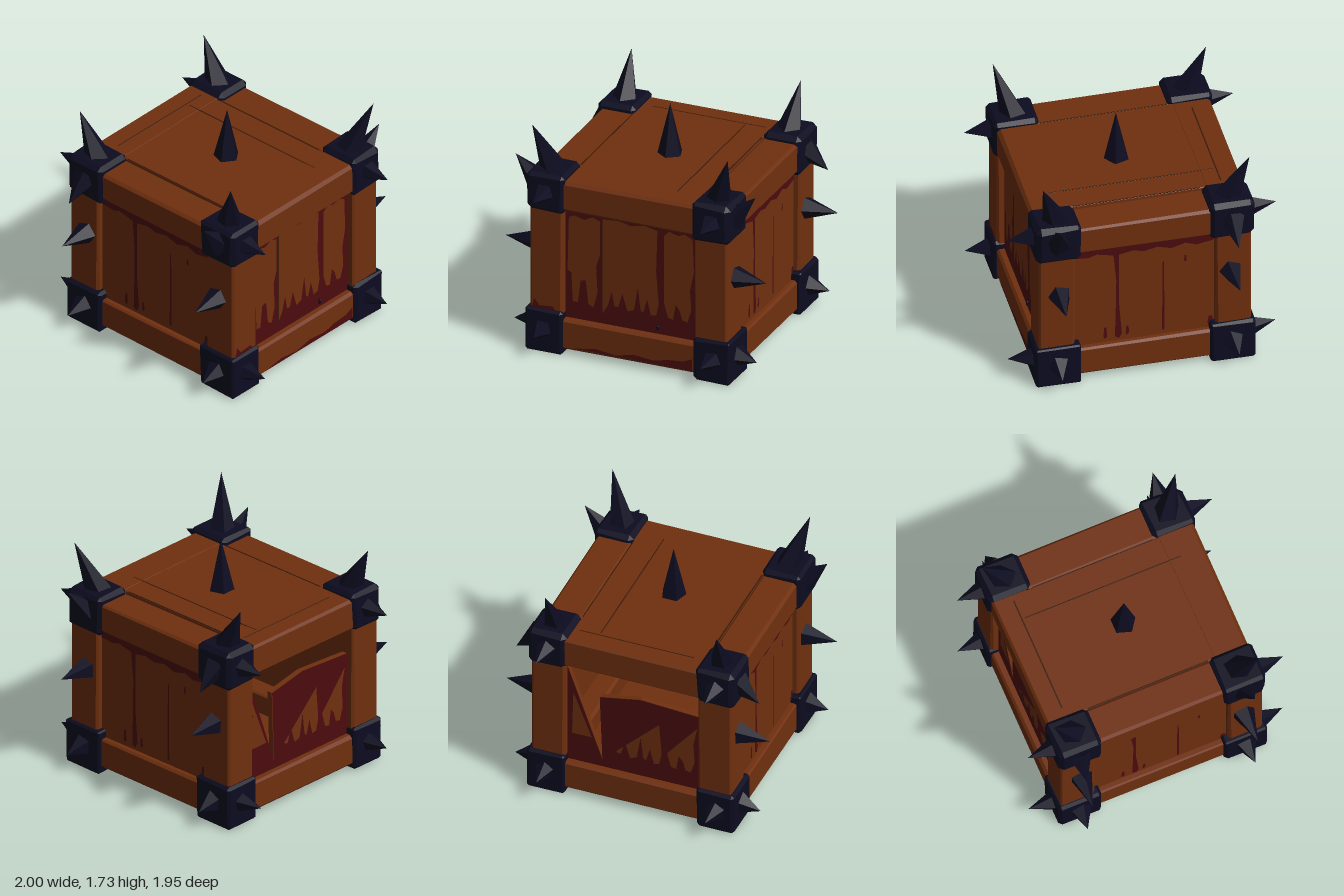
import * as THREE from 'three';
import { ConvexGeometry } from 'three/addons/geometries/ConvexGeometry.js';

const mat = (name, color, side = THREE.FrontSide) => {
  const m = new THREE.MeshStandardMaterial({ color, flatShading: true, side });
  m.name = name;
  return m;
};

export function createModel() {
  const root = new THREE.Group();
  const wood = mat('brown wood', 0x70300f);
  const seam = mat('dark seam', 0x3a1a09);
  const stain = mat('dark red stain', 0x4c0c10, THREE.DoubleSide);
  const iron = mat('dark iron', 0x0d0c21);

  let seed = 7;
  const rand = () => (seed = (seed * 16807) % 2147483647) / 2147483647 - 0.5;

  const add = (parent, name, geo, material) => {
    const m = new THREE.Mesh(geo, material);
    m.name = name;
    parent.add(m);
    return m;
  };

  // Box with chamfered edges and slightly uneven corners
  const block = (parent, name, material, [x0, x1], [y0, y1], [z0, z1], c, wobble = 0) => {
    const pts = [];
    const X = [x0, x1], Y = [y0, y1], Z = [z0, z1];
    for (let i = 0; i < 2; i++) for (let j = 0; j < 2; j++) for (let k = 0; k < 2; k++) {
      const sx = 1 - 2 * i, sy = 1 - 2 * j, sz = 1 - 2 * k;
      const d = c + rand() * wobble;
      pts.push(new THREE.Vector3(X[i], Y[j] + sy * d, Z[k] + sz * d),
        new THREE.Vector3(X[i] + sx * d, Y[j], Z[k] + sz * d),
        new THREE.Vector3(X[i] + sx * d, Y[j] + sy * d, Z[k]));
    }
    return add(parent, name, new ConvexGeometry(pts), material);
  };

  // Five-sided spike from base to tip
  const up = new THREE.Vector3(0, 1, 0);
  const spike = (name, base, tip, r) => {
    const a = new THREE.Vector3(...base), b = new THREE.Vector3(...tip);
    const len = a.distanceTo(b);
    const geo = new THREE.ConeGeometry(r, len, 5).translate(0, len / 2, 0);
    const m = add(root, name, geo, iron);
    m.quaternion.setFromUnitVectors(up, b.sub(a).normalize());
    m.position.copy(a);
  };

  const poly = (pts) => new THREE.Shape(pts.map(([x, y]) => new THREE.Vector2(x, y)));
  const plate = (parent, name, pts, holes, z, material) => {
    const s = poly(pts);
    s.holes = holes.map(poly);
    return add(parent, name, new THREE.ShapeGeometry(s).translate(0, 0, z), material);
  };
  const board = (parent, name, pts) => add(parent, name,
    new THREE.ExtrudeGeometry(poly(pts), { depth: 0.04, bevelEnabled: false }).translate(0, 0, 0.67), wood);
  const rect = (x0, y0, x1, y1) => [[x0, y0], [x1, y0], [x1, y1], [x0, y1]];

  // Corner posts, iron corner blocks and their spikes
  for (const sx of [-1, 1]) for (const sz of [-1, 1]) {
    const span = (s, a, b) => (s > 0 ? [a, b] : [-b, -a]);
    block(root, 'cornerPost', wood, span(sx, 0.505, 0.757), [0.2, 1.2], span(sz, 0.51, 0.77), 0.015, 0.012);
    block(root, 'lowerCornerBlock', iron, span(sx, 0.5, 0.785), [0, 0.33], span(sz, 0.47, 0.795), 0.018, 0.02);
    block(root, 'upperCornerBlock', iron, span(sx, 0.49, 0.78), [1.08, 1.38], span(sz, 0.465, 0.79), 0.03, 0.02);
    const front = sz > 0;
    spike('topCornerSpike', [sx * 0.63, 1.34, sz * 0.62],
      front ? [sx * 0.75, 1.73, 0.74] : [sx * 0.65, 1.68, -0.78], 0.1);
    spike('upperSideSpike', [sx * 0.74, 1.24, sz * 0.63], [sx * 0.92, front ? 1.43 : 1.09, sz * 0.64], 0.1);
    spike('upperFaceSpike', [sx * 0.64, 1.24, sz * 0.77], [sx * 0.64, 1.24, sz * 0.975], 0.08);
    spike('lowerSideSpike', [sx * 0.76, 0.18, sz * 0.63], [sx * 0.93, 0.15, sz * 0.64], 0.09);
    spike('lowerFaceSpike', [sx * 0.65, 0.18, sz * 0.77], [sx * 0.64, 0.19, sz * 0.97], 0.08);
    spike('postSpike', [sx * 0.74, 0.78, sz * 0.62], [sx, 0.775, sz * 0.63], 0.09);
  }
  spike('lidSpike', [0, 1.33, 0.025], [0, 1.73, 0.03], 0.095);

  // Lid and floor
  block(root, 'lid', wood, [-0.5, 0.49], [1.27, 1.34], [-0.63, 0.63], 0.006);
  block(root, 'floor', wood, [-0.53, 0.53], [0.07, 0.12], [-0.53, 0.53], 0.004);
  const lidSeam = (x0, x1, z0, z1) => block(root, 'lidSeam', seam, [x0, x1], [1.338, 1.343], [z0, z1], 0.001);
  lidSeam(0.295, 0.303, -0.6, 0.59);
  lidSeam(-0.42, 0.45, -0.627, -0.617);
  lidSeam(-0.503, -0.494, -0.46, 0.46);
  lidSeam(0.484, 0.492, -0.46, 0.46);

  // Clean wood patches left between the stains of the front and back panels
  const cellA = [[-0.48, 1.05], [-0.44, 1.07], [-0.36, 1.05], [-0.3, 1.08], [-0.24, 1.06], [-0.24, 0.8],
    [-0.27, 0.7], [-0.26, 0.5], [-0.29, 0.38], [-0.33, 0.4], [-0.35, 0.58], [-0.39, 0.57], [-0.41, 0.4],
    [-0.45, 0.4], [-0.46, 0.62], [-0.49, 0.64]];
  const cellB = [[-0.22, 1.08], [-0.1, 1.09], [0, 1.07], [0.1, 1.09], [0.2, 1.07], [0.19, 0.75], [0.21, 0.5],
    [0.19, 0.41], [0.15, 0.4], [0.12, 0.52], [0.09, 0.41], [0.07, 0.43], [0.05, 0.6], [0.02, 0.42],
    [-0.03, 0.4], [-0.07, 0.53], [-0.1, 0.42], [-0.13, 0.42], [-0.15, 0.53], [-0.18, 0.42], [-0.22, 0.35]];
  const cellC = [[0.25, 1.04], [0.29, 1.08], [0.36, 1.06], [0.41, 1.08], [0.47, 1.05], [0.48, 0.8], [0.45, 0.65],
    [0.46, 0.5], [0.43, 0.4], [0.39, 0.41], [0.37, 0.48], [0.34, 0.52], [0.32, 0.4], [0.28, 0.41], [0.25, 0.52]];
  const cut = (cell) => cell.filter(([, y]) => y < 0.84);

  // Four walls, each built facing forward and then turned
  ['front', 'right', 'back', 'left'].forEach((side, i) => {
    const wall = new THREE.Group();
    wall.name = side + 'Wall';
    wall.rotation.y = i * Math.PI / 2;
    root.add(wall);
    const across = i % 2 === 1;
    const out = across ? 0.755 : 0.77;
    block(wall, 'topRail', wood, [-0.52, 0.52], [1.11, across ? 1.33 : 1.342], [0.49, out], 0.018, 0.015);
    block(wall, 'bottomRail', wood, [-0.52, 0.52], [0.04, 0.27], [0.52, out], 0.018, 0.015);
    if (across) {
      board(wall, 'sidePanel', rect(-0.52, 0.25, 0.52, 1.13));
      // Drips running down from the top edge
      plate(wall, 'stainDrips', [[-0.52, 1.12], [-0.52, 1.05], [-0.4, 1.04], [-0.34, 1.06], [-0.22, 1.03],
        [-0.2, 0.8], [-0.205, 0.5], [-0.21, 0.31], [-0.18, 0.29], [-0.16, 0.33], [-0.18, 0.6], [-0.18, 1.03],
        [-0.08, 1.05], [0, 1.03], [0.1, 1.05], [0.2, 1.02], [0.3, 1.05], [0.38, 1.02], [0.5, 1.04], [0.52, 1.12]],
        [], 0.715, stain);
      for (const [x, y0, y1, w] of [[0.14, 0.3, 0.91, 0.009], [-0.28, 0.3, 0.4, 0.014], [-0.12, 0.31, 0.39, 0.013],
        [0.3, 0.88, 0.94, 0.01], [0.48, 0.29, 0.37, 0.022]])
        plate(wall, 'stainStreak', [[x - w, y0 + 0.02], [x, y0], [x + w, y0 + 0.02], [x + w * 0.6, y1], [x - w * 0.5, y1]],
          [], 0.715, stain);
    } else if (side === 'front') {
      board(wall, 'frontPanel', rect(-0.52, 0.25, 0.52, 1.13));
      plate(wall, 'panelStain', rect(-0.515, 0.26, 0.515, 1.12), [cellA, cellB, cellC], 0.715, stain);
      plate(wall, 'plankSeam', rect(-0.226, 0.35, -0.219, 1.1), [], 0.718, seam);
      block(wall, 'nail', iron, [0.198, 0.216], [0.3, 0.335], [0.7, 0.73], 0.004);
      plate(wall, 'railStain', [[-0.42, 0.062], [0.49, 0.06], [0.49, 0.15], [0.42, 0.12], [0.3, 0.11], [0.2, 0.085],
        [0.05, 0.1], [-0.1, 0.07], [-0.25, 0.09]], [], 0.774, stain);
      plate(wall, 'postStain', [[-0.74, 0.32], [-0.55, 0.32], [-0.58, 0.36], [-0.68, 0.35], [-0.72, 0.4]], [], 0.774, stain);
    } else {
      // Broken panel with an open gap at its top
      const broken = [[-0.52, 0.25], [0.52, 0.25], [0.52, 0.9], [0.05, 0.93], [-0.26, 0.87], [-0.24, 0.33], [-0.52, 1.12]];
      board(wall, 'brokenPanel', broken);
      plate(wall, 'panelStain', broken, [cut(cellB), cut(cellC), [[-0.46, 0.86], [-0.47, 0.5], [-0.32, 0.5]]], 0.715, stain);
    }
  });
  return root;
}
